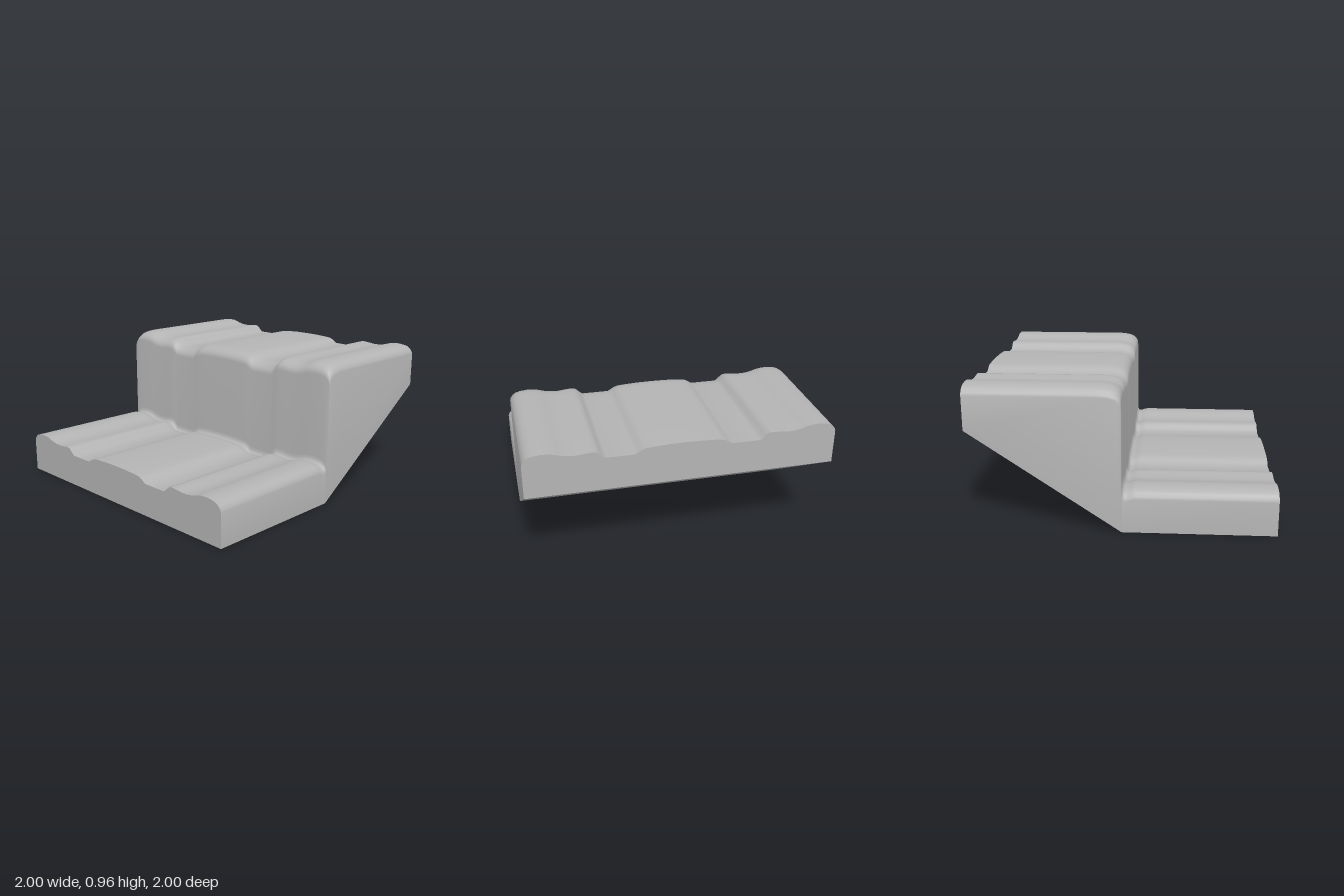
import * as THREE from 'three';
import { toCreasedNormals } from 'three/addons/utils/BufferGeometryUtils.js';

// Half of the ridged top profile: [z, height] from the outer edge to the centre
const half = [
  [1, 0.895], [0.995, 0.912], [0.98, 0.932], [0.96, 0.946], [0.93, 0.955], [0.88, 0.96],
  [0.83, 0.957], [0.8, 0.951], [0.77, 0.941], [0.74, 0.934], [0.7, 0.929], [0.66, 0.929],
  [0.61, 0.935], [0.57, 0.938], [0.545, 0.934], [0.525, 0.917], [0.505, 0.898], [0.49, 0.89],
  [0.31, 0.89], [0.285, 0.904], [0.265, 0.917], [0.24, 0.925], [0.2, 0.929], [0.1, 0.934], [0, 0.935],
];
const profile = [...half, ...half.slice(0, -1).reverse().map(([z, y]) => [-z, y])];

// Cross-section stations: [x, vertical shift of the profile]
const STEP = -0.667;
const stations = [
  [-1, STEP], [-0.09, STEP], [-0.07, STEP - 0.003], [-0.05, STEP - 0.01], [-0.035, STEP - 0.015],
  [-0.02, STEP - 0.015], [-0.01, STEP - 0.008], [-0.003, STEP + 0.005], [0, STEP + 0.025],
  [0.001, -0.075], [0.005, -0.055], [0.015, -0.04], [0.03, -0.026], [0.05, -0.015],
  [0.08, -0.007], [0.11, -0.002], [0.15, 0], [1, 0],
];
const underside = (x) => Math.max(0, x * 0.667);

function steppedBlock() {
  const pos = [], index = [];
  const add = (x, y, z) => pos.push(x, y, z) / 3 - 1;
  const quad = (a, b, c, d) => index.push(a, b, c, a, c, d);

  // One closed ring per station: front foot, top profile, back foot
  const rings = stations.map(([x, shift]) => [
    add(x, underside(x), 1),
    ...profile.map(([z, y]) => add(x, y + shift, z)),
    add(x, underside(x), -1),
  ]);
  for (let i = 0; i < rings.length - 1; i++) {
    const p = rings[i], q = rings[i + 1], n = p.length;
    for (let j = 0; j < n; j++) quad(p[j], q[j], q[(j + 1) % n], p[(j + 1) % n]);
  }

  // Flat end faces
  for (const [ring, x] of [[rings[0], -1], [rings[rings.length - 1], 1]]) {
    const foot = profile.map(([z]) => add(x, underside(x), z));
    for (let j = 0; j < foot.length - 1; j++) {
      const c = [foot[j], foot[j + 1], ring[j + 2], ring[j + 1]];
      quad(...(x > 0 ? c : c.reverse()));
    }
  }

  const geometry = new THREE.BufferGeometry();
  geometry.setAttribute('position', new THREE.Float32BufferAttribute(pos, 3));
  geometry.setIndex(index);
  return toCreasedNormals(geometry, 0.62);
}

export function createModel() {
  const grey = new THREE.MeshStandardMaterial({ color: 0xb4b4b4 });
  grey.name = 'grey';
  const group = new THREE.Group();
  group.name = 'ridgedStep';
  const block = new THREE.Mesh(steppedBlock(), grey);
  block.name = 'steppedBlock';
  group.add(block);
  return group;
}
